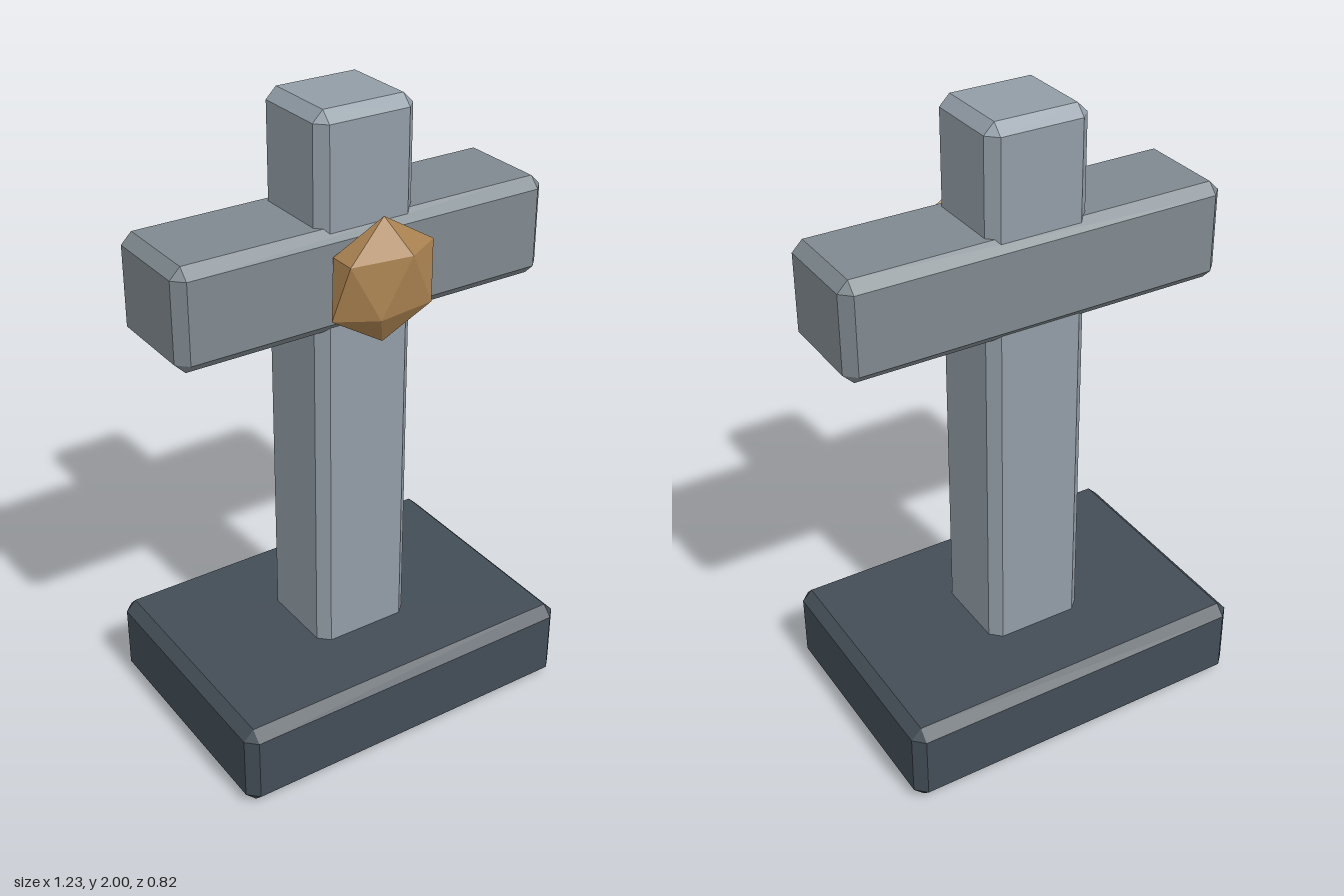
import * as THREE from 'three';
import { ConvexGeometry } from 'three/addons/geometries/ConvexGeometry.js';

function part(name, points, color) {
  const material = new THREE.MeshStandardMaterial({ color, flatShading: true });
  const mesh = new THREE.Mesh(new ConvexGeometry(points), material);
  mesh.name = name;
  return mesh;
}

// Corner points of a box with every edge cut at 45 degrees, centred on its origin
function chamferedBox(width, height, depth, cut) {
  const half = [width / 2, height / 2, depth / 2];
  const points = [];
  for (const sx of [-1, 1]) for (const sy of [-1, 1]) for (const sz of [-1, 1]) {
    for (let axis = 0; axis < 3; axis++) {
      const h = half.map((v, i) => (i === axis ? v : v - cut));
      points.push(new THREE.Vector3(sx * h[0], sy * h[1], sz * h[2]));
    }
  }
  return points;
}

// Upright icosahedron: two poles and two staggered rings of five
function gemPoints(radius, depthScale) {
  const points = [new THREE.Vector3(0, radius, 0), new THREE.Vector3(0, -radius, 0)];
  const ringY = radius / Math.sqrt(5), ringR = 2 * ringY;
  for (let i = 0; i < 10; i++) {
    const a = (i * Math.PI) / 5;
    const y = i % 2 ? -ringY : ringY;
    points.push(new THREE.Vector3(ringR * Math.cos(a), y, ringR * Math.sin(a) * depthScale));
  }
  return points;
}

export function createModel() {
  const group = new THREE.Group();
  group.name = 'stoneCross';

  // Heavy plinth
  const base = part('base', chamferedBox(1.166, 0.27, 0.82, 0.033), 0x434d56);
  base.position.y = 0.138;

  // Upright, sunk into the plinth
  const post = part('post', chamferedBox(0.326, 1.8, 0.302, 0.033), 0x929da6);
  post.position.y = 1.1;

  // Horizontal arm, slightly deeper than the upright
  const crossbar = part('crossbar', chamferedBox(1.234, 0.312, 0.342, 0.033), 0x7f898f);
  crossbar.position.y = 1.515;

  // Flattened gem on the front of the crossing
  const gem = part('gem', gemPoints(0.19, 0.43), 0xa98150);
  gem.position.set(0, 1.515, 0.22);

  group.add(base, post, crossbar, gem);
  return group;
}
